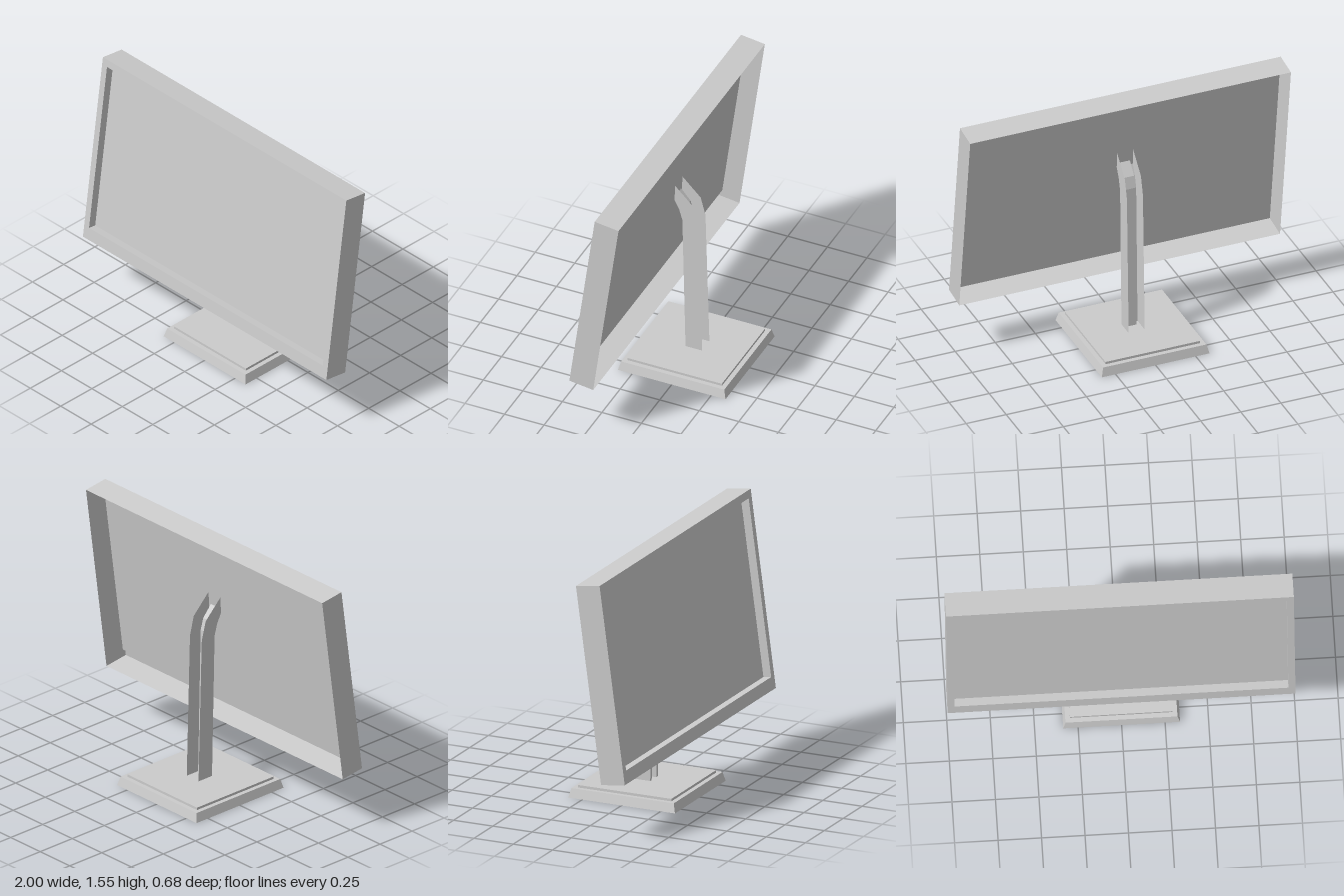
import * as THREE from 'three';

const material = new THREE.MeshStandardMaterial({ color: 0xcccccc, side: THREE.DoubleSide });

// Flat-shaded sheet through a series of cross-sections (arrays of [x, y, z])
function loft(name, sections, { closed = true, cap = false } = {}) {
  const pos = [];
  const quad = (a, b, c, d) => pos.push(...a, ...b, ...c, ...a, ...c, ...d);
  for (let s = 0; s < sections.length - 1; s++) {
    const lo = sections[s], hi = sections[s + 1], n = lo.length;
    for (let i = 0; i < (closed ? n : n - 1); i++) {
      const j = (i + 1) % n;
      quad(lo[i], lo[j], hi[j], hi[i]);
    }
  }
  if (cap) quad(...sections[sections.length - 1]);
  const geometry = new THREE.BufferGeometry();
  geometry.setAttribute('position', new THREE.Float32BufferAttribute(pos, 3));
  geometry.computeVertexNormals();
  const mesh = new THREE.Mesh(geometry, material);
  mesh.name = name;
  return mesh;
}

// Rectangle in the xy plane at depth z
const rect = (hx, y0, y1, z) => [[-hx, y0, z], [hx, y0, z], [hx, y1, z], [-hx, y1, z]];

// Tilted display: casing open at the back, bezel, recessed screen
function createDisplay() {
  const display = new THREE.Group();
  display.name = 'display';
  const back = rect(1, 0, 1.191, -0.152);
  const front = rect(1, 0, 1.191, 0);
  const opening = rect(0.96, 0.077, 1.145, 0);
  const recess = rect(0.96, 0.077, 1.145, -0.05);
  display.add(
    loft('casing', [back, front]),
    loft('bezel', [front, opening]),
    loft('screenRecess', [opening, recess]),
    loft('screen', [recess], { cap: true }),
  );
  display.position.set(0, 0.365, 0.34);
  display.rotation.x = -0.135;
  return display;
}

// Hollow stepped foot, open underneath
function createBase() {
  const level = (hx, hz, y) => rect(hx, -hz, hz, y);
  const base = loft('base', [
    level(0.336, 0.34, 0), level(0.322, 0.326, 0.055),
    level(0.295, 0.298, 0.055), level(0.295, 0.298, 0.07),
  ], { cap: true });
  base.rotation.x = -Math.PI / 2;
  return base;
}

// Neck: two ribs joined by a set-back web, open at the rear, bending forward at the top
function createNeck() {
  // each level: [z, y] of the front edge, the web and the rear edge
  const levels = [
    [[0.045, 0.07], [0.01, 0.07], [-0.06, 0.07]],
    [[0.065, 0.96], [0.03, 0.98], [-0.035, 0.96]],
    [[0.085, 1.03], [0.05, 1.05], [-0.005, 1.075]],
    [[0.115, 1.09], [0.11, 1.12], [0.11, 1.19]],
  ];
  const sections = levels.map(([front, web, rear]) => {
    const half = [[0.05, rear], [0.05, front], [0.03, front], [0.03, web]];
    const left = half.map(([x, [z, y]]) => [-x, y, z]);
    const right = half.map(([x, [z, y]]) => [x, y, z]).reverse();
    return [...left, ...right];
  });
  return loft('neck', sections, { closed: false });
}

export function createModel() {
  const model = new THREE.Group();
  model.name = 'monitor';
  model.add(createDisplay(), createNeck(), createBase());
  return model;
}
